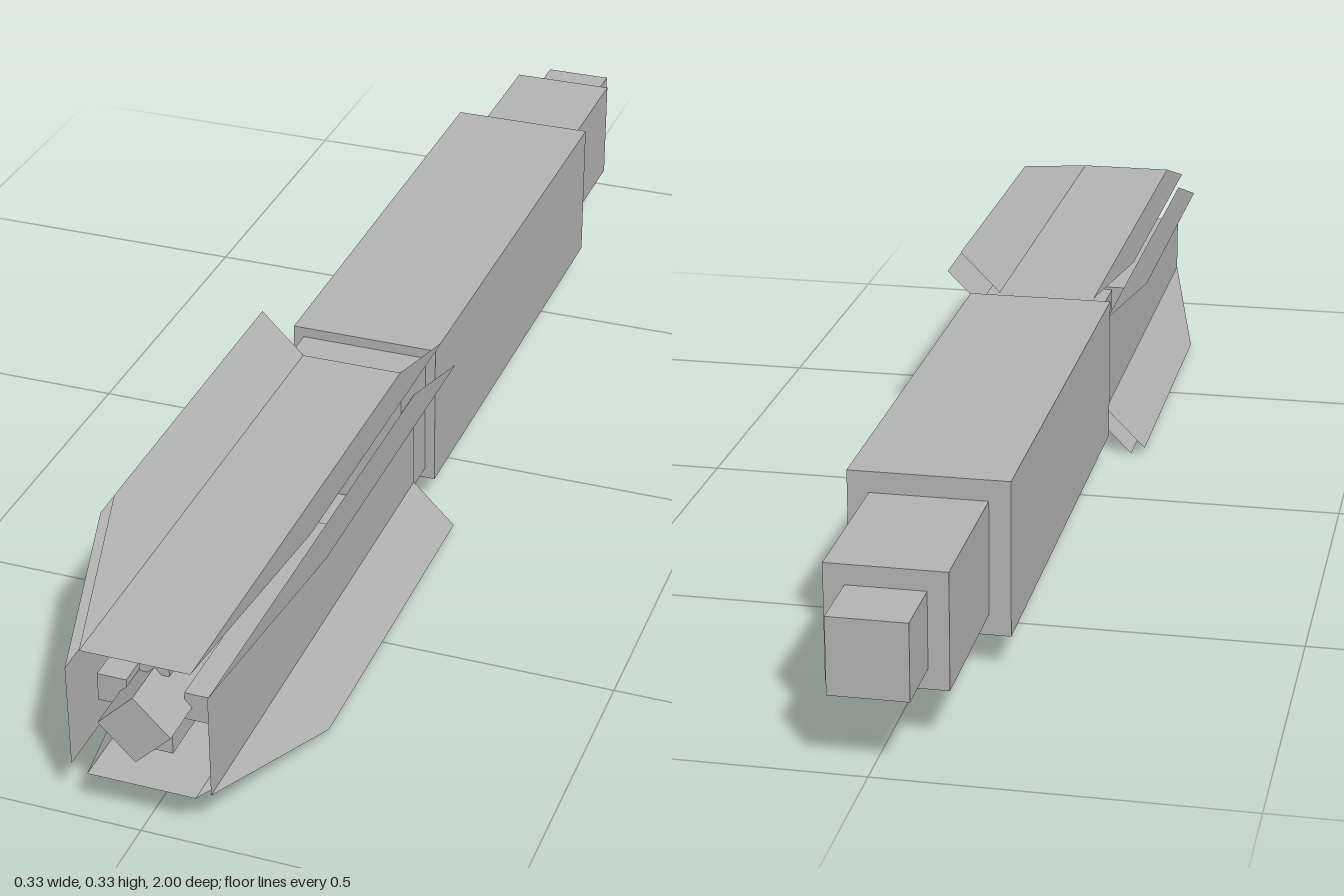
import * as THREE from 'three';

export function createModel() {
  const model = new THREE.Group();
  const grey = new THREE.MeshStandardMaterial({ color: 0xb2b2b2, side: THREE.DoubleSide });
  grey.name = 'grey';
  const cx = -0.002, cy = 0.164;

  // Square bar running along z from z0 to z1, centred on (x, y)
  function bar(name, size, z0, z1, x = cx, y = cy) {
    const mesh = new THREE.Mesh(new THREE.BoxGeometry(size, size, z1 - z0), grey);
    mesh.name = name;
    mesh.position.set(x, y, (z0 + z1) / 2);
    model.add(mesh);
    return mesh;
  }

  // Stepped handle
  bar('handle', 0.226, -0.655, 0.14);
  bar('rearStep', 0.165, -0.9, -0.655);
  bar('pommel', 0.108, -1, -0.9);
  bar('collar', 0.195, 0.14, 0.25);

  // Core rod turned on its corner, with four blocks around it
  bar('coreRod', 0.0725, 0.25, 1).rotation.z = Math.PI / 4;
  for (let i = 0; i < 4; i++) {
    const a = i * Math.PI / 2;
    bar('coreBlock', 0.042, 0.5, 0.93, cx + 0.062 * Math.cos(a), cy + 0.062 * Math.sin(a));
  }

  // Thin folded sheet: a flat strip with a clipped wing bent out along each edge
  const half = 0.077, out = 0.099, flare = 0.064;
  const z0 = 0.195, zShoulder = 0.73, z1 = 0.988;
  const positions = [];
  const quad = (a, b, c, d) => positions.push(...a, ...b, ...c, ...a, ...c, ...d);
  quad([-half, out, z1], [half, out, z1], [half, out, z0], [-half, out, z0]);
  quad([half, out, z1], [half + flare, out + flare, zShoulder],
    [half + flare, out + flare, z0], [half, out, z0]);
  quad([-half, out, z0], [-half - flare, out + flare, z0],
    [-half - flare, out + flare, zShoulder], [-half, out, z1]);
  const sheet = new THREE.BufferGeometry();
  sheet.setAttribute('position', new THREE.Float32BufferAttribute(positions, 3));
  sheet.computeVertexNormals();

  // The side sheets sit slightly lower than the top and bottom ones
  ['topPanel', 'rightPanel', 'bottomPanel', 'leftPanel'].forEach((name, i) => {
    const panel = new THREE.Mesh(sheet, grey);
    panel.name = name;
    panel.rotation.z = i * Math.PI / 2;
    panel.position.set(cx, i % 2 ? cy - 0.011 : cy, 0);
    model.add(panel);
  });

  return model;
}
